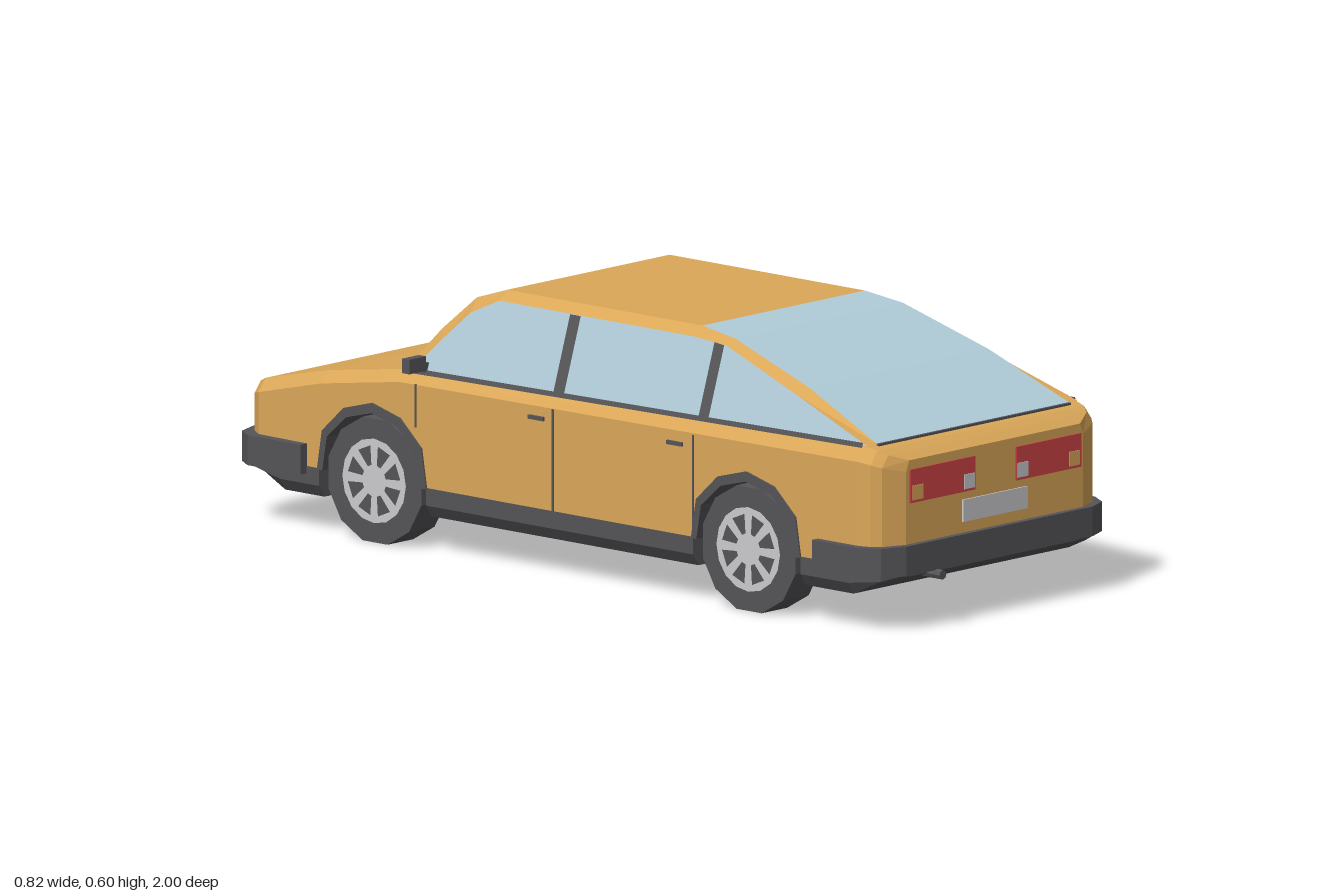
import * as THREE from 'three';

const mat = (name, color, side = THREE.FrontSide) =>
  new THREE.MeshStandardMaterial({ name, color, side, flatShading: true });

export function createModel() {
  const car = new THREE.Group();
  car.name = 'car';
  const D = THREE.DoubleSide;
  const paint = mat('ochre paint', 0xdba758, D);
  const glass = mat('window glass', 0xb0ccd8, D);
  const trim = mat('dark grey trim', 0x555458, D);
  const red = mat('red lens', 0xd04447);
  const pale = mat('pale grey', 0xcbcbce, D);

  const add = (name, geo, m, parent = car) => {
    const mesh = new THREE.Mesh(geo, m);
    mesh.name = name;
    parent.add(mesh);
    return mesh;
  };
  const box = (name, m, x0, x1, y0, y1, z0, z1) => {
    const b = add(name, new THREE.BoxGeometry(x1 - x0, y1 - y0, z1 - z0), m);
    b.position.set((x0 + x1) / 2, (y0 + y1) / 2, (z0 + z1) / 2);
    return b;
  };
  const fromTriangles = (pos) => {
    const g = new THREE.BufferGeometry();
    g.setAttribute('position', new THREE.Float32BufferAttribute(pos.flat(), 3));
    g.computeVertexNormals();
    return g;
  };
  // Quads between two polylines of [x, y, z]
  const strip = (a, b) => {
    const p = [];
    for (let i = 0; i + 1 < a.length; i++) p.push(a[i], b[i], b[i + 1], a[i], b[i + 1], a[i + 1]);
    return fromTriangles(p);
  };
  // Closed solid through half sections { z, half: [[x, y], ...] }, running from +z to -z
  const loft = (sections) => {
    const rings = sections.map(({ z, half }) => [
      ...half.map(([x, y]) => [x, y, z]),
      ...half.slice().reverse().map(([x, y]) => [-x, y, z]),
    ]);
    const n = rings[0].length, p = [];
    for (let s = 0; s + 1 < rings.length; s++) {
      for (let i = 0; i < n; i++) {
        const j = (i + 1) % n, a = rings[s], b = rings[s + 1];
        p.push(a[i], b[i], b[j], a[i], b[j], a[j]);
      }
    }
    const first = rings[0], last = rings[rings.length - 1];
    for (let i = 1; i + 1 < n; i++) p.push(first[0], first[i], first[i + 1], last[0], last[i + 1], last[i]);
    return fromTriangles(p);
  };
  const flip = (pts) => pts.map(([x, y, z]) => [-x, y, z]);

  // Lower body: z, half width, shoulder y, deck half width, deck y
  const profile = [
    [0.967, 0.29, 0.36, 0.28, 0.385], [0.945, 0.345, 0.373, 0.325, 0.4],
    [0.925, 0.362, 0.38, 0.338, 0.411], [0.895, 0.371, 0.385, 0.347, 0.416],
    [-0.49, 0.371, 0.376, 0.347, 0.402], [-0.727, 0.371, 0.34, 0.347, 0.367],
    [-0.92, 0.365, 0.293, 0.342, 0.322], [-0.955, 0.34, 0.283, 0.32, 0.308],
    [-0.977, 0.285, 0.268, 0.275, 0.286],
  ];
  const wheelZ = [0.56, -0.57], axleY = 0.14;
  const arch = [[0.165, 0.145], [0.15, 0.235], [0.085, 0.295], [0, 0.318],
    [-0.085, 0.295], [-0.15, 0.235], [-0.165, 0.145]];
  const interp = (table, z, k) => {
    if (z >= table[0][0]) return table[0][k];
    for (let i = 0; i + 1 < table.length; i++) {
      const a = table[i], b = table[i + 1];
      if (z >= b[0]) return a[k] + (b[k] - a[k]) * (a[0] - z) / (a[0] - b[0]);
    }
    return table[table.length - 1][k];
  };
  const bottom = wheelZ.flatMap((c) => arch.map(([dz, y]) => [c + dz, y]));
  const stations = [...profile, ...bottom].map((r) => r[0]).sort((a, b) => b - a);
  add('lowerBody', loft(stations.map((z) => {
    const [w, ys, wt, yt] = [1, 2, 3, 4].map((k) => interp(profile, z, k));
    return { z, half: [[w, interp(bottom, z, 1)], [w, ys], [wt, yt]] };
  })), paint);

  // Sills and valances: z, half width, bottom y
  const skirts = {
    rearValance: [[0.962, 0.29, 0.12], [0.94, 0.345, 0.11], [0.866, 0.371, 0.08], [0.722, 0.371, 0.08]],
    sill: [[0.398, 0.371, 0.08], [-0.408, 0.371, 0.08]],
    frontValance: [[-0.732, 0.371, 0.08], [-0.85, 0.371, 0.08], [-0.94, 0.355, 0.115], [-0.972, 0.285, 0.13]],
  };
  for (const [name, rows] of Object.entries(skirts)) {
    add(name, loft(rows.map(([z, w, yb]) =>
      ({ z, half: [[w - 0.018, yb], [w, Math.max(0.107, yb + 0.005)], [w, 0.147]] }))), trim);
  }
  box('floor', trim, -0.272, 0.272, 0.08, 0.33, -0.76, 0.76);

  // Cabin: upper edge line of roof and screens, and the outer side edge below it
  const upper = [[0.315, 0.418, 0.903], [0.294, 0.512, 0.678], [0.274, 0.587, 0.437], [0.266, 0.601, 0.33],
    [0.266, 0.601, -0.26], [0.272, 0.573, -0.346], [0.306, 0.497, -0.42], [0.341, 0.404, -0.494]];
  const sideX = (y) => 0.347 - 0.327 * (y - 0.413);
  const belt = (z) => 0.409 + 0.01 * z;
  const side = [[0.418, 0.9], [0.497, 0.665], [0.573, 0.43], [0.58, 0.33],
    [0.58, -0.26], [0.545, -0.335], [0.475, -0.405], [0.405, -0.47]].map(([y, z]) => [sideX(y), y, z]);
  const across = (i, j) => strip(upper.slice(i, j), flip(upper.slice(i, j)));
  add('rearWindow', across(0, 4), glass);
  add('roof', across(3, 6), paint);
  add('windscreen', across(5, 8), glass);
  box('rearWindowSeal', trim, -0.315, 0.315, 0.412, 0.419, 0.9, 0.908);
  box('windscreenSeal', trim, -0.34, 0.34, 0.4, 0.407, -0.5, -0.49);

  for (const s of [1, -1]) {
    const tag = s > 0 ? 'left' : 'right';
    const m = (pts) => pts.map(([x, y, z]) => [s * x, y, z]);
    const low = side.map(([, , z]) => [sideX(belt(z)), belt(z), z]);
    add(tag + 'RoofRail', strip(m(upper), m(side)), paint);
    add(tag + 'SideWindows', strip(m(side), m(low)), glass);
    // Window pillars and belt moulding, just proud of the glass
    const plate = (name, corners) => {
      const p = m(corners.map(([y, z]) => [sideX(y) + 0.004, y, z]));
      add(tag + name, strip([p[0], p[1]], [p[3], p[2]]), trim);
    };
    plate('MiddlePillar', [[0.58, -0.01], [0.58, -0.042], [0.405, -0.042], [0.405, -0.01]]);
    plate('RearPillar', [[0.574, 0.425], [0.577, 0.395], [0.41, 0.395], [0.41, 0.425]]);
    plate('BeltMoulding', [[0.424, 0.89], [0.408, -0.47], [0.397, -0.47], [0.413, 0.89]]);

    // Door gaps, handles and mirror
    const sideBox = (name, x0, x1, ...r) =>
      box(tag + name, trim, Math.min(s * x0, s * x1), Math.max(s * x0, s * x1), ...r);
    for (const [z, y0] of [[0.398, 0.147], [-0.025, 0.147], [-0.44, 0.28]])
      sideBox('DoorGap', 0.368, 0.3725, y0, 0.378, z - 0.0025, z + 0.0025);
    for (const z of [0.345, -0.073]) sideBox('DoorHandle', 0.368, 0.377, 0.348, 0.357, z - 0.023, z + 0.023);
    sideBox('MirrorStalk', 0.335, 0.362, 0.405, 0.425, -0.437, -0.425);
    sideBox('Mirror', 0.355, 0.41, 0.408, 0.441, -0.445, -0.423);

    // Tail lamps with reversing and turn lenses
    const lens = (name, material, x0, x1, y0, y1, z0, z1) =>
      box(tag + name, material, Math.min(s * x0, s * x1), Math.max(s * x0, s * x1), y0, y1, z0, z1);
    lens('TailLamp', red, 0.067, 0.28, 0.288, 0.364, 0.964, 0.971);
    lens('TurnLens', paint, 0.239, 0.274, 0.294, 0.327, 0.966, 0.973);
    lens('ReverseLens', pale, 0.07, 0.105, 0.294, 0.327, 0.966, 0.973);
    // Headlamps and bumper lamps
    lens('InnerHeadlamp', pale, 0.098, 0.182, 0.224, 0.268, -0.981, -0.973);
    lens('OuterHeadlamp', pale, 0.188, 0.276, 0.224, 0.268, -0.981, -0.973);
    lens('BumperLamp', pale, 0.19, 0.235, 0.15, 0.18, -1, -0.993);
  }
  box('fuelFlap', trim, 0.368, 0.376, 0.325, 0.372, 0.285, 0.331);
  box('grille', trim, -0.088, 0.088, 0.222, 0.268, -0.981, -0.973);
  box('frontPlate', pale, -0.105, 0.105, 0.14, 0.19, -1, -0.993);
  box('rearPlate', pale, -0.107, 0.105, 0.22, 0.27, 0.964, 0.971);

  // Wrap-round bumpers, from a plan outline
  const bumper = (name, pts, y0, y1) => {
    const outline = [...pts, ...pts.slice().reverse().map(([x, z]) => [-x, z])];
    const shape = new THREE.Shape(outline.map(([x, z]) => new THREE.Vector2(x, -z)));
    const g = new THREE.ExtrudeGeometry(shape, { depth: y1 - y0, bevelEnabled: false });
    add(name, g.rotateX(-Math.PI / 2).translate(0, y0, 0), trim);
  };
  bumper('rearBumper', [[0.391, 0.775], [0.391, 0.91], [0.362, 0.958], [0.305, 0.982]], 0.128, 0.195);
  bumper('frontBumper', [[0.391, -0.77], [0.391, -0.93], [0.362, -0.973], [0.29, -0.997]], 0.13, 0.198);

  // Wheels, rims with eight openings, and arch flares
  const rimShape = new THREE.Shape().absarc(0, 0, 0.096, 0, Math.PI * 2);
  for (let i = 0; i < 8; i++) {
    const a = (i + 0.5) * Math.PI / 4;
    rimShape.holes.push(new THREE.Path([[0.036, -0.16], [0.08, -0.25], [0.08, 0.25], [0.036, 0.16]].map(
      ([r, d]) => new THREE.Vector2(r * Math.cos(a + d), r * Math.sin(a + d)))));
  }
  const rimGeo = new THREE.ShapeGeometry(rimShape, 8).rotateY(Math.PI / 2);
  const tyreGeo = new THREE.CylinderGeometry(0.145, 0.145, 0.084, 12)
    .rotateY(Math.PI / 12).rotateZ(Math.PI / 2);
  const flareShape = new THREE.Shape([
    ...arch.map(([z, y]) => new THREE.Vector2(-z, y)),
    ...arch.slice().reverse().map(([z, y]) => new THREE.Vector2(-z * 0.9, axleY + (y - axleY) * 0.87)),
  ]);
  const flareGeo = new THREE.ExtrudeGeometry(flareShape, { depth: 0.11, bevelEnabled: false })
    .rotateY(Math.PI / 2).translate(0.265, 0, 0);
  for (const z of wheelZ) {
    for (const s of [1, -1]) {
      const wheel = new THREE.Group();
      wheel.name = (z > 0 ? 'rear' : 'front') + (s > 0 ? 'Left' : 'Right') + 'Wheel';
      wheel.position.z = z;
      wheel.rotation.y = s > 0 ? 0 : Math.PI;
      add('tyre', tyreGeo, trim, wheel).position.set(0.321, axleY, 0);
      add('rim', rimGeo, pale, wheel).position.set(0.366, axleY, 0);
      add('archFlare', flareGeo, trim, wheel);
      car.add(wheel);
    }
  }

  // Wipers and exhaust pipe
  for (const x of [-0.15, 0.1]) {
    const w = box('wiper', trim, x - 0.115, x + 0.115, 0.447, 0.455, -0.468, -0.46);
    w.rotation.z = -0.03;
  }
  const pipe = add('exhaust', new THREE.CylinderGeometry(0.011, 0.011, 0.14, 8), trim);
  pipe.rotation.x = Math.PI / 2;
  pipe.position.set(-0.205, 0.119, 0.93);
  return car;
}
